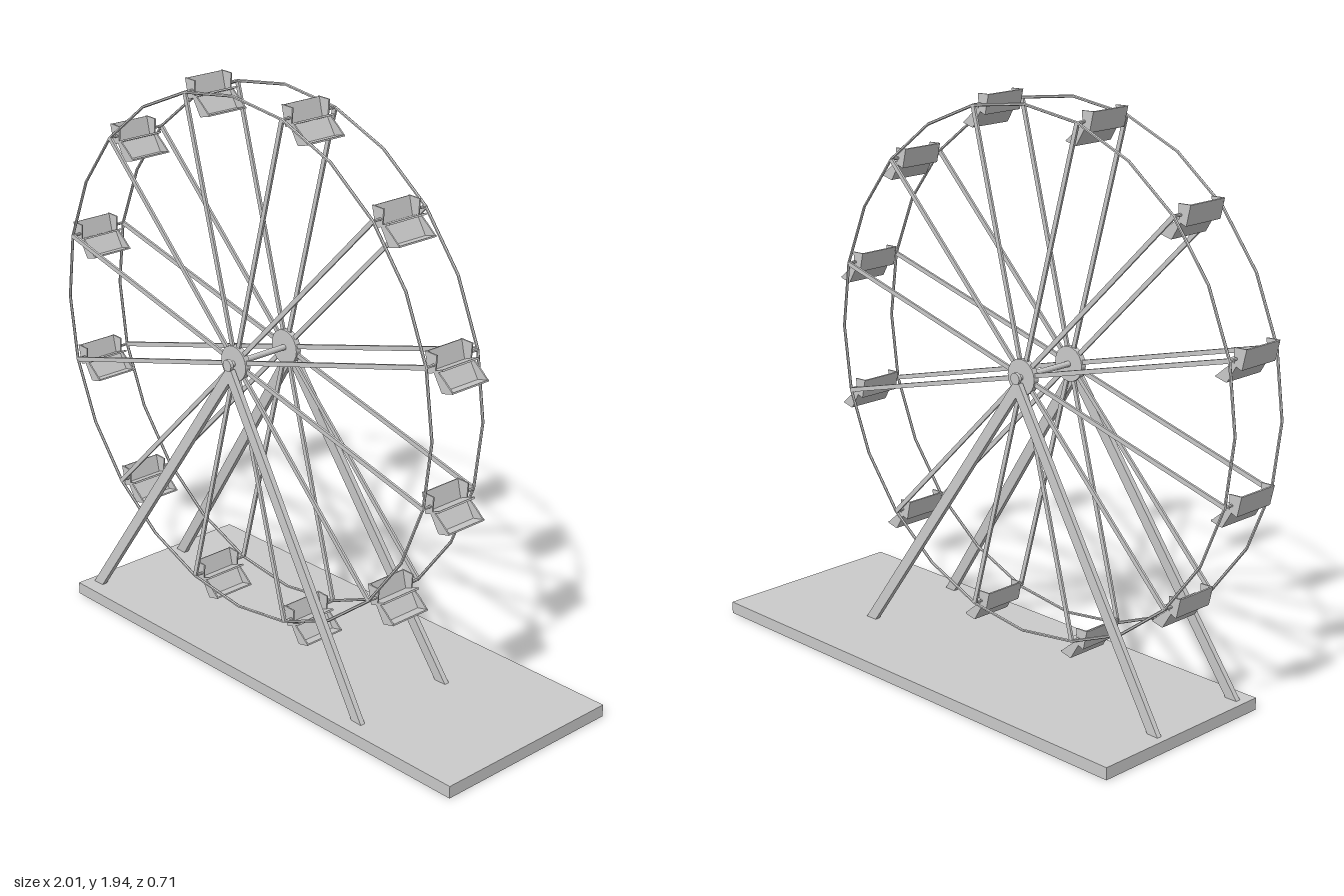
import * as THREE from 'three';

const mat = new THREE.MeshStandardMaterial({ color: 0xcccccc, flatShading: true, side: THREE.DoubleSide });
const CX = -0.12, CY = 1.05, CZ = 0.105; // wheel centre
const R = 0.88, HALF = 0.11;             // rim radius, half distance between rims

function add(parent, name, geometry, x = 0, y = 0, z = 0) {
  const mesh = new THREE.Mesh(geometry, mat);
  mesh.name = name;
  mesh.position.set(x, y, z);
  parent.add(mesh);
  return mesh;
}

// cylinder lying along z
function zRod(parent, name, radius, length, x, y, z, sides = 12) {
  const g = new THREE.CylinderGeometry(radius, radius, length, sides).rotateX(Math.PI / 2);
  return add(parent, name, g, x, y, z);
}

// flat slab drawn as a line in the xy plane and extended along z
function slab(parent, name, [x0, y0], [x1, y1], thick, depth, z = 0) {
  const g = new THREE.BoxGeometry(Math.hypot(x1 - x0, y1 - y0), thick, depth);
  const m = add(parent, name, g, (x0 + x1) / 2, (y0 + y1) / 2, z);
  m.rotation.z = Math.atan2(y1 - y0, x1 - x0);
  return m;
}

// thin plate cut from an xy outline
function plate(parent, name, points, thick, z) {
  const shape = new THREE.Shape(points.map(p => new THREE.Vector2(...p)));
  const g = new THREE.ExtrudeGeometry(shape, { depth: thick, bevelEnabled: false });
  return add(parent, name, g.translate(0, 0, -thick / 2), 0, 0, z);
}

// open bench car hung at its origin
function makeCar() {
  const car = new THREE.Group();
  car.name = 'car';
  const w = 0.156;
  slab(car, 'seatBack', [-0.034, 0.034], [-0.02, -0.028], 0.005, w);
  slab(car, 'seat', [-0.021, -0.03], [0.036, -0.008], 0.006, w);
  slab(car, 'legPanel', [0.002, -0.022], [0.036, -0.078], 0.005, w);
  slab(car, 'footRest', [0.036, -0.078], [0.078, -0.068], 0.005, w);
  for (const s of [-1, 1]) {
    plate(car, 'armPanel', [[-0.037, 0.035], [0.011, 0.033], [0.007, -0.022], [-0.022, -0.03]], 0.005, s * (w / 2 - 0.0025));
    plate(car, 'footPanel', [[0, -0.022], [0.018, -0.018], [0.046, -0.04], [0.078, -0.068], [0.036, -0.08]], 0.005, s * (w / 2 - 0.0025));
    zRod(car, 'hanger', 0.005, 0.034, 0, 0, s * (HALF - 0.016), 6);
  }
  return car;
}

export function createModel() {
  const model = new THREE.Group();
  model.name = 'ferrisWheel';

  add(model, 'base', new THREE.BoxGeometry(1.83, 0.042, 0.71), 0.085, 0.021, 0);

  const wheel = new THREE.Group();
  wheel.name = 'wheel';
  wheel.position.set(CX, CY, CZ);
  model.add(wheel);

  zRod(wheel, 'axle', 0.01, 0.29, 0, 0, 0);

  for (const s of [-1, 1]) {
    const z = s * HALF;
    add(wheel, 'rim', new THREE.TorusGeometry(R, 0.005, 6, 24), 0, 0, z);
    zRod(wheel, 'hub', 0.06, 0.02, 0, 0, z, 20);
    zRod(wheel, 'axleCap', 0.02, 0.012, 0, 0, s * 0.142);

    // spokes
    for (let i = 0; i < 12; i++) {
      const a = (i + 0.5) * Math.PI / 6;
      const c = Math.cos(a), n = Math.sin(a);
      slab(wheel, 'spoke', [0.03 * c, 0.03 * n], [R * c, R * n], 0.015, 0.008, z);
    }

    // slanted support legs
    for (const t of [-1, 1]) {
      const foot = new THREE.Vector3(t * 0.67, 0.03 - CY, s * 0.191);
      const top = new THREE.Vector3(t * -0.004, -0.025, s * 0.133);
      const dir = top.clone().sub(foot);
      const mid = top.clone().add(foot).multiplyScalar(0.5);
      const leg = add(wheel, 'supportLeg', new THREE.BoxGeometry(0.037, dir.length(), 0.018), mid.x, mid.y, mid.z);
      // keep the broad face of the leg towards the front
      const up = dir.normalize();
      const side = new THREE.Vector3().crossVectors(up, new THREE.Vector3(0, 0, 1)).normalize();
      const face = new THREE.Vector3().crossVectors(side, up);
      leg.quaternion.setFromRotationMatrix(new THREE.Matrix4().makeBasis(side, up, face));
    }
  }

  // upright cars around the rim
  for (let i = 0; i < 12; i++) {
    const a = (i + 0.5) * Math.PI / 6;
    const car = makeCar();
    car.position.set(R * Math.cos(a), R * Math.sin(a), 0);
    wheel.add(car);
  }

  return model;
}
